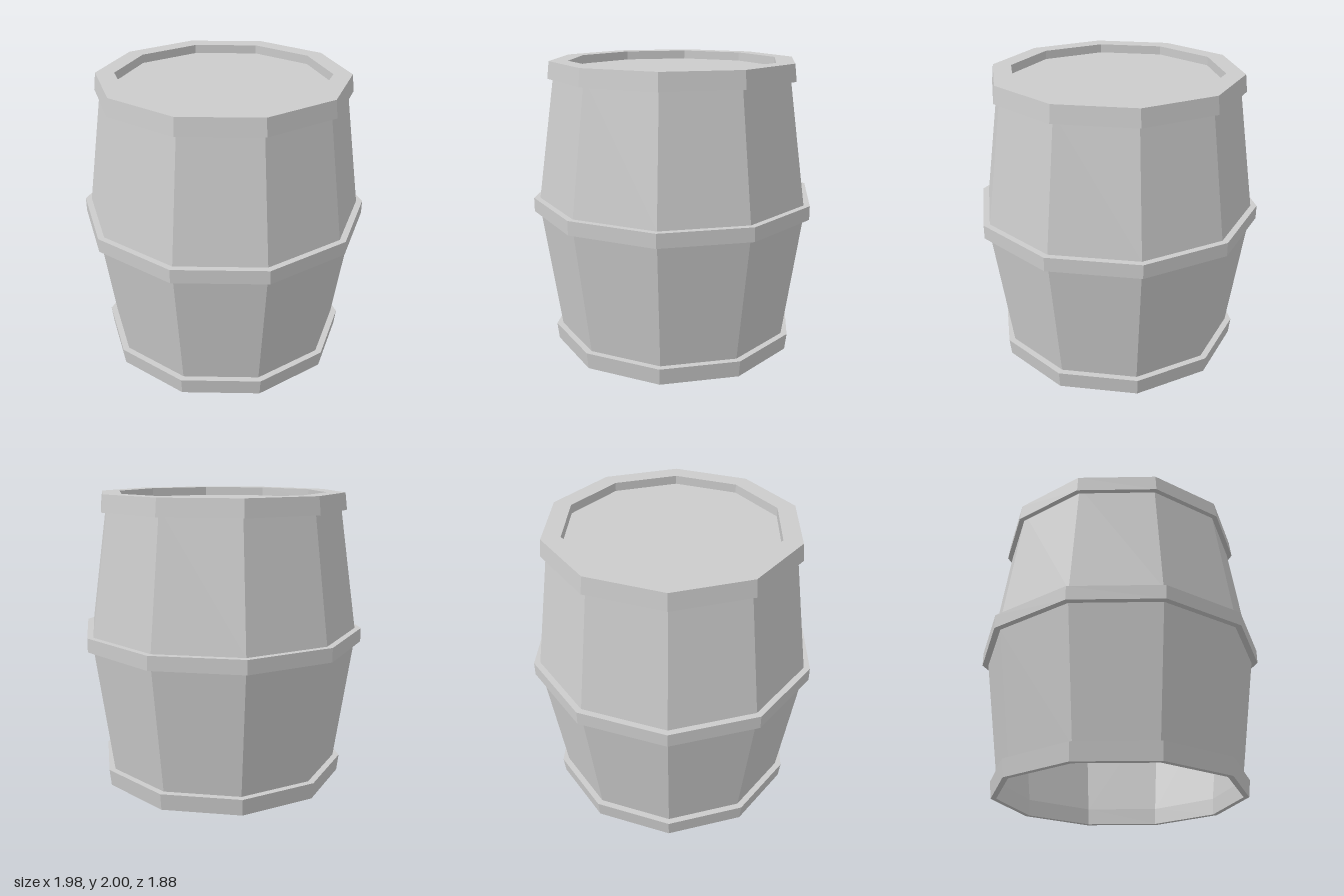
import * as THREE from 'three';

const SIDES = 10;

// Ten-sided ring turned from [radius, height] pairs, with corners on the x axis
function turned(name, profile, material) {
  const points = profile.map(([r, y]) => new THREE.Vector2(r, y));
  const mesh = new THREE.Mesh(new THREE.LatheGeometry(points, SIDES, Math.PI / 2), material);
  mesh.name = name;
  return mesh;
}

export function createModel() {
  const barrel = new THREE.Group();
  barrel.name = 'barrel';
  const solid = new THREE.MeshStandardMaterial({ color: 0xcccccc, flatShading: true });
  const thin = new THREE.MeshStandardMaterial({ color: 0xcccccc, flatShading: true, side: THREE.DoubleSide });

  // Bulging staves, hollow and open below
  barrel.add(turned('staves', [[0.825, 0.11], [0.945, 0.975], [0.945, 1.07], [0.817, 1.94]], thin));

  // Bottom hoop with its inner face
  barrel.add(turned('bottomHoop',
    [[0.825, 0.115], [0.82, 0], [0.857, 0], [0.87, 0.115], [0.825, 0.115]], solid));

  // Middle hoop
  barrel.add(turned('middleHoop',
    [[0.94, 0.975], [0.988, 0.975], [0.988, 1.07], [0.94, 1.07]], solid));

  // Top hoop and broad rim around the sunken lid
  barrel.add(turned('topRim',
    [[0.82, 1.885], [0.861, 1.885], [0.847, 2], [0.72, 2], [0.72, 1.94]], solid));

  // Sunken lid
  const lid = new THREE.Mesh(new THREE.CircleGeometry(0.816, SIDES), thin);
  lid.name = 'lid';
  lid.rotation.x = -Math.PI / 2;
  lid.position.y = 1.94;
  barrel.add(lid);

  return barrel;
}
